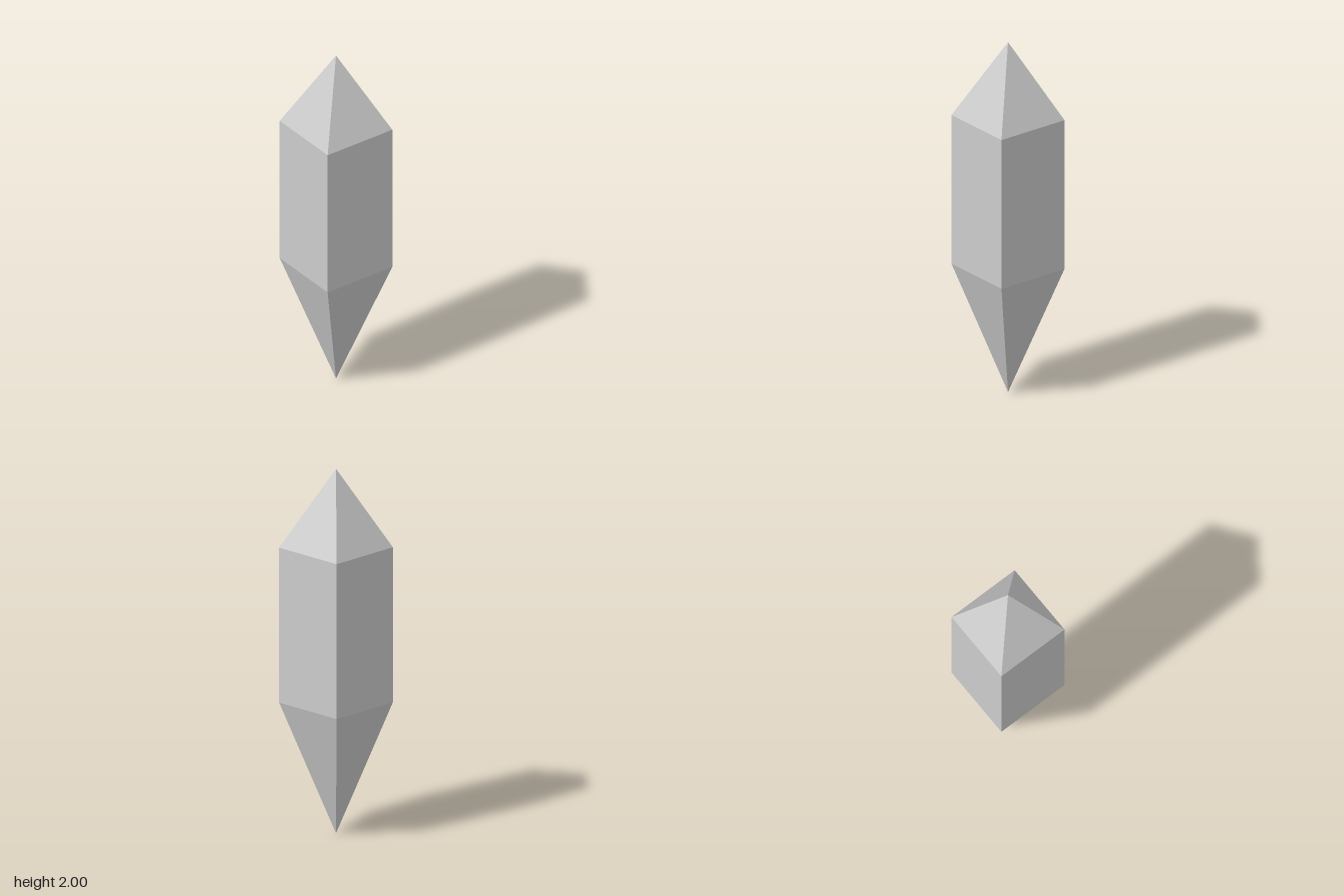
import * as THREE from 'three';

export function createModel() {
  const group = new THREE.Group();
  group.name = 'crystal';
  const material = new THREE.MeshStandardMaterial({ color: 0xcccccc, flatShading: true });

  const radius = 0.211 * Math.SQRT2; // centre to corner of the square section
  const lower = 0.718, upper = 1.568, top = 2;

  // Four-sided section, turned so its flat sides face the axes
  const addSection = (name, topRadius, bottomRadius, y0, y1) => {
    const geometry = new THREE.CylinderGeometry(
      topRadius, bottomRadius, y1 - y0, 4, 1, true, Math.PI / 4);
    const mesh = new THREE.Mesh(geometry, material);
    mesh.name = name;
    mesh.position.y = (y0 + y1) / 2;
    group.add(mesh);
  };

  addSection('lowerPoint', radius, 0, 0, lower);
  addSection('shaft', radius, radius, lower, upper);
  addSection('upperPoint', 0, radius, upper, top);

  return group;
}
